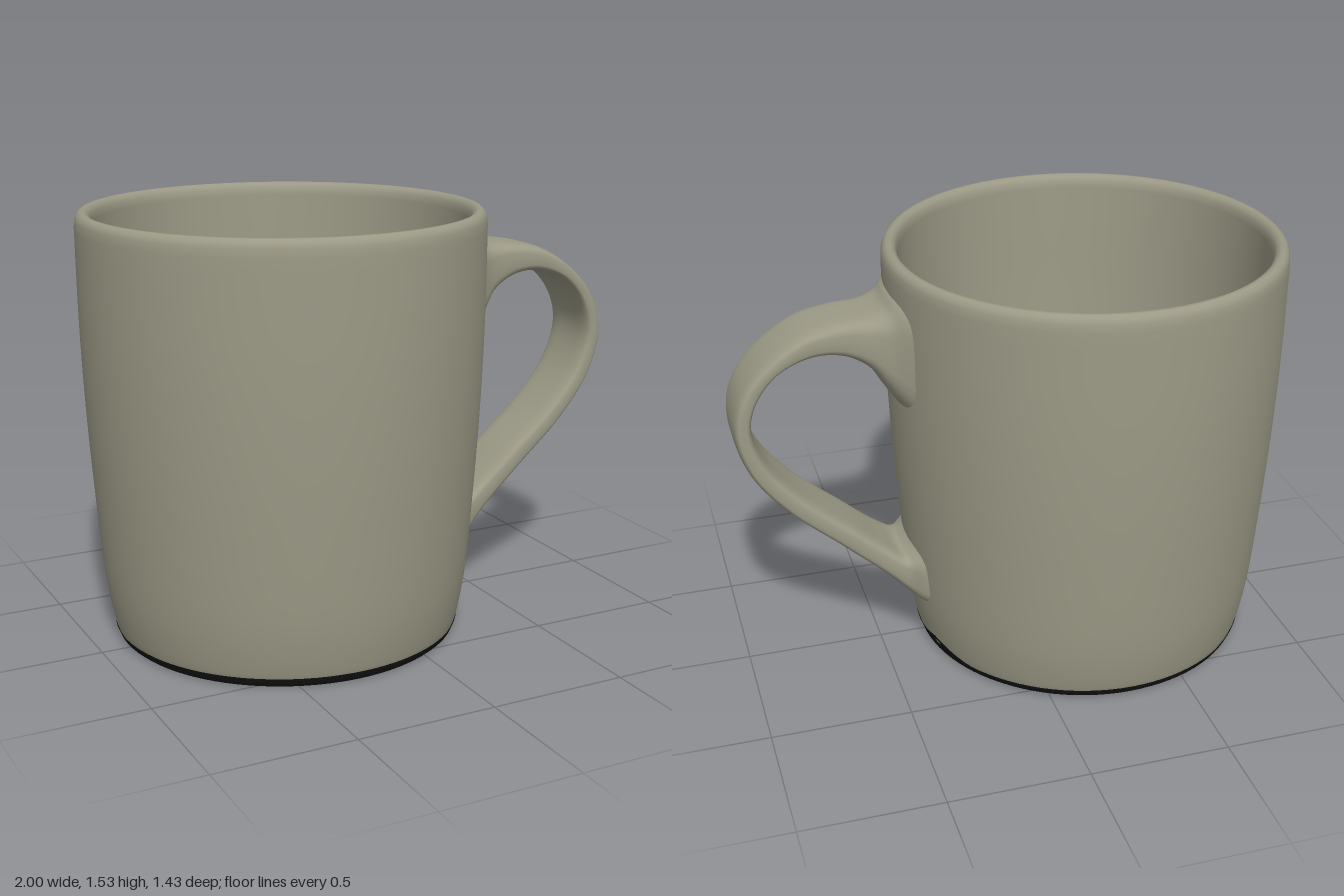
import * as THREE from 'three';

const AXIS_X = -0.285; // centre line of the cup
const SEGMENTS = 96;

const glaze = new THREE.MeshStandardMaterial({ color: 0x9c9a86 });
glaze.name = 'stoneGlaze';
const black = new THREE.MeshStandardMaterial({ color: 0x151515, side: THREE.DoubleSide });
black.name = 'blackFoot';

const vectors = (list) => list.map(([x, y]) => new THREE.Vector2(x, y));

function addMesh(group, name, geometry, material) {
  const mesh = new THREE.Mesh(geometry, material);
  mesh.name = name;
  group.add(mesh);
  return mesh;
}

// Cup wall: recessed underside, outside, rounded rim, inside and floor
function cupGeometry() {
  const outside = new THREE.SplineCurve(vectors([
    [0.612, 0.012], [0.63, 0.06], [0.657, 0.22], [0.68, 0.5], [0.699, 0.8], [0.711, 1.12], [0.714, 1.47],
  ])).getPoints(28);
  const profile = [
    ...vectors([[0, 0.05], [0.5, 0.05], [0.545, 0.045], [0.56, 0.03], [0.568, 0.008], [0.585, 0.004], [0.6, 0.004]]),
    ...outside,
    ...vectors([[0.712, 1.5], [0.705, 1.517], [0.693, 1.527], [0.68, 1.528], [0.667, 1.52], [0.659, 1.505], [0.655, 1.48]]),
    ...vectors([[0.652, 1.2], [0.642, 0.8], [0.625, 0.45], [0.608, 0.25], [0.59, 0.18], [0.555, 0.135], [0.5, 0.115], [0.4, 0.11], [0, 0.11]]),
  ];
  return new THREE.LatheGeometry(profile, SEGMENTS);
}

// Bare foot: a thin skin over the base, with one small peak below the handle
function footGeometry() {
  const profile = vectors([[0.568, 0.004], [0.58, 0], [0.604, 0], [0.616, 0.01], [0.6265, 0.036]]);
  const geometry = new THREE.LatheGeometry(profile, SEGMENTS);
  const p = geometry.attributes.position;
  for (let i = 0; i < p.count; i++) {
    if (p.getY(i) < 0.03) continue;
    const angle = Math.atan2(p.getZ(i), p.getX(i));
    const rise = 0.036 * Math.max(0, 1 - Math.abs(angle + 0.27) / 0.3);
    const grow = 1 + rise * 0.32;
    p.setXYZ(i, p.getX(i) * grow, p.getY(i) + rise, p.getZ(i) * grow);
  }
  geometry.computeVertexNormals();
  return geometry;
}

// Handle: rounded strap lofted through stations, flaring into the curved wall
function handleGeometry() {
  // outer x, outer y, inner x, inner y, half width
  const stations = [
    [0.40, 1.43, 0.395, 0.99, 0.28],
    [0.435, 1.405, 0.43, 1.03, 0.225],
    [0.465, 1.375, 0.475, 1.10, 0.175],
    [0.515, 1.358, 0.52, 1.17, 0.145],
    [0.61, 1.35, 0.60, 1.222, 0.132],
    [0.74, 1.32, 0.71, 1.235, 0.13],
    [0.88, 1.225, 0.83, 1.19, 0.13],
    [0.97, 1.11, 0.91, 1.09, 0.13],
    [0.998, 0.98, 0.933, 0.98, 0.13],
    [0.95, 0.81, 0.89, 0.85, 0.13],
    [0.83, 0.65, 0.775, 0.705, 0.13],
    [0.64, 0.475, 0.585, 0.54, 0.13],
    [0.505, 0.345, 0.49, 0.455, 0.134],
    [0.425, 0.26, 0.43, 0.412, 0.155],
    [0.385, 0.222, 0.402, 0.425, 0.185],
    [0.345, 0.195, 0.37, 0.46, 0.21],
  ];
  const curve = (pick) => new THREE.CatmullRomCurve3(stations.map((s) => new THREE.Vector3(...pick(s))));
  const outer = curve((s) => [s[0], s[1], s[4]]);
  const inner = curve((s) => [s[2], s[3], s[4]]);
  const rows = 90, sides = 32;
  const positions = [], indices = [];
  const rounded = (v) => Math.sign(v) * Math.sqrt(Math.abs(v));
  for (let i = 0; i <= rows; i++) {
    const a = outer.getPoint(i / rows);
    const b = inner.getPoint(i / rows);
    const wrap = 1 - THREE.MathUtils.smoothstep((a.x + b.x) / 2, 0.42, 0.6);
    for (let j = 0; j < sides; j++) {
      const angle = (j / sides) * Math.PI * 2;
      const n = 0.5 + 0.5 * rounded(Math.cos(angle));
      const z = a.z * rounded(Math.sin(angle));
      const x = THREE.MathUtils.lerp(b.x, a.x, n) - wrap * z * z / 1.36;
      positions.push(x, THREE.MathUtils.lerp(b.y, a.y, n), z);
      if (i === rows) continue;
      const p = i * sides + j, q = i * sides + (j + 1) % sides;
      indices.push(p, q, p + sides, q, q + sides, p + sides);
    }
  }
  const geometry = new THREE.BufferGeometry();
  geometry.setAttribute('position', new THREE.Float32BufferAttribute(positions, 3));
  geometry.setIndex(indices);
  geometry.computeVertexNormals();
  return geometry;
}

export function createModel() {
  const mug = new THREE.Group();
  mug.name = 'mug';
  addMesh(mug, 'cup', cupGeometry(), glaze).position.x = AXIS_X;
  addMesh(mug, 'footRing', footGeometry(), black).position.x = AXIS_X;
  addMesh(mug, 'handle', handleGeometry(), glaze);
  return mug;
}
